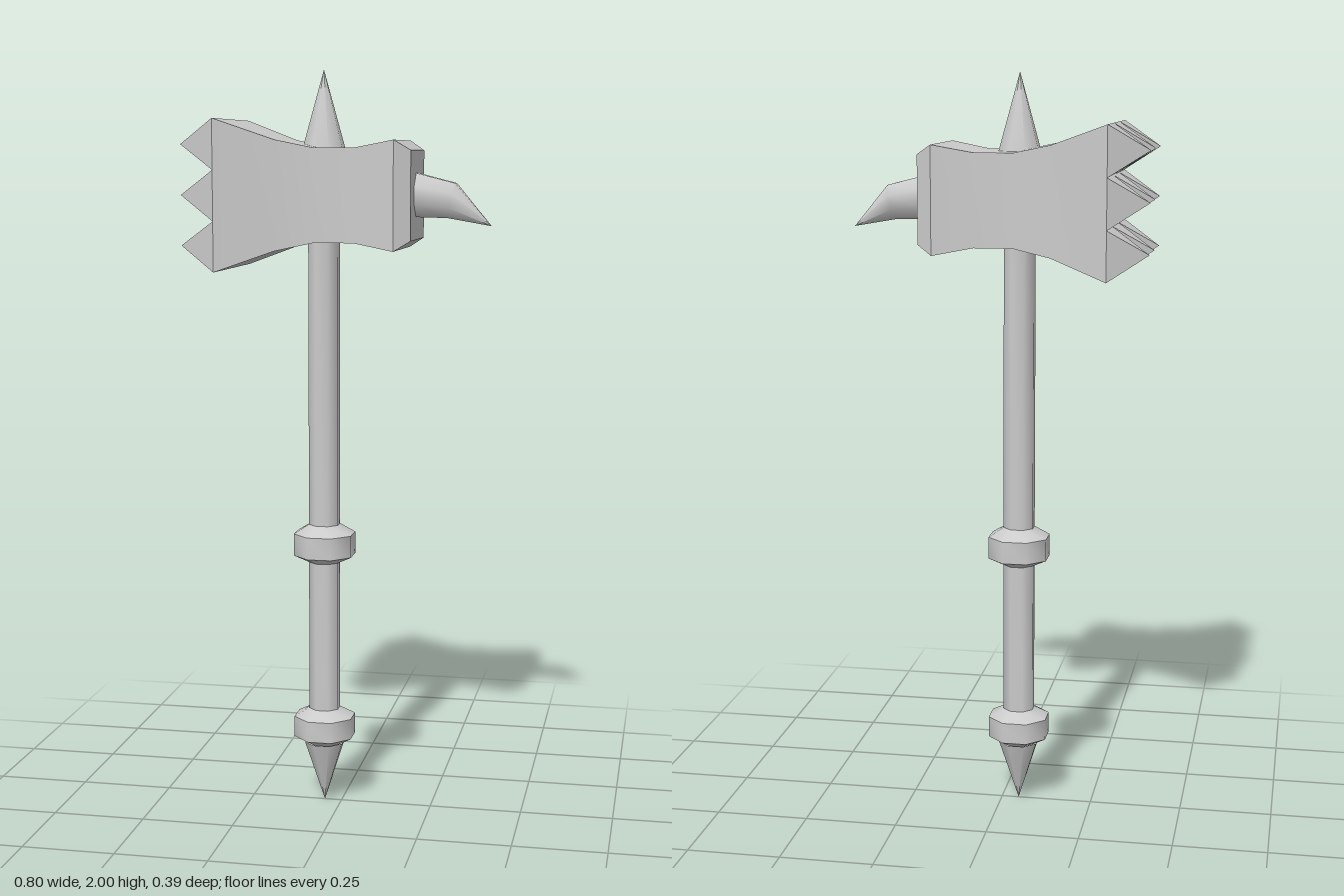
import * as THREE from 'three';
import { toCreasedNormals } from 'three/addons/utils/BufferGeometryUtils.js';

const AXIS_X = -0.047; // shaft axis
const HEAD_Y = 1.675;  // middle height of the head
const material = new THREE.MeshStandardMaterial({ color: 0xcccccc });

function part(name, geometry, crease = 0.9) {
  const mesh = new THREE.Mesh(toCreasedNormals(geometry, crease), material);
  mesh.name = name;
  return mesh;
}

// Eight-sided turned part around the shaft axis; profile of [flat radius, y] going up
function turned(name, profile) {
  const k = 1 / Math.cos(Math.PI / 8);
  const points = profile.map(([r, y]) => new THREE.Vector2(r * k, y));
  const mesh = part(name, new THREE.LatheGeometry(points, 8, Math.PI / 8));
  mesh.position.x = AXIS_X;
  return mesh;
}

// Regular polygon sections along x: [x, y, half width, lean of the section]
function loft(sections, sides) {
  const pos = [], index = [];
  for (const [x, y, half, lean = 0] of sections) {
    const r = half / Math.cos(Math.PI / sides);
    for (let j = 0; j < sides; j++) {
      const a = ((j + 0.5) / sides) * Math.PI * 2;
      pos.push(x + lean * Math.cos(a) * r, y + Math.cos(a) * r, Math.sin(a) * r);
    }
  }
  for (let i = 0; i < sections.length - 1; i++) {
    for (let j = 0; j < sides; j++) {
      const a = i * sides + j, b = i * sides + (j + 1) % sides;
      index.push(a, b, b + sides, a, b + sides, a + sides);
    }
  }
  const g = new THREE.BufferGeometry();
  g.setAttribute('position', new THREE.Float32BufferAttribute(pos, 3));
  g.setIndex(index);
  return g;
}

export function createModel() {
  const group = new THREE.Group();
  group.name = 'warHammer';

  // Handle with grip collars and pointed ends
  group.add(
    turned('shaft', [[0.04, 0.2], [0.04, 1.7]]),
    turned('gripCollar', [[0.04, 0.68], [0.079, 0.7], [0.079, 0.76], [0.04, 0.785]]),
    turned('pommelCollar', [[0.04, 0.165], [0.079, 0.188], [0.079, 0.245], [0.04, 0.267]]),
    turned('pommelSpike', [[0, 0], [0.052, 0.17]]),
    turned('topSpike', [[0.056, 1.785], [0, 2]]),
  );

  // Waisted square head with a chamfered end
  const head = [
    [-0.3, 0], [-0.3, 0.197], [-0.15, 0.143], [-0.05, 0.122],
    [0.055, 0.122], [0.162, 0.142], [0.203, 0.116], [0.203, 0],
  ].map(([x, half]) => [x, HEAD_Y, half]);
  group.add(part('hammerHead', loft(head, 4), 0.6));

  // Drooping horn on the chamfered end
  group.add(part('horn', loft([
    [0.19, HEAD_Y, 0.057], [0.203, HEAD_Y, 0.057],
    [0.295, 1.661, 0.045, 0.22], [0.4, 1.595, 0],
  ], 8)));

  // Three by three pyramid teeth on the striking face
  const cell = 0.394 / 3;
  const teeth = new THREE.Group();
  teeth.name = 'strikingTeeth';
  for (let row = -1; row <= 1; row++) {
    for (let col = -1; col <= 1; col++) {
      const tooth = loft([[-0.403, 0, 0], [-0.3, 0, cell / 2]], 4);
      const mesh = part('tooth', tooth, 0.3);
      mesh.position.set(0, HEAD_Y + row * cell, col * cell);
      teeth.add(mesh);
    }
  }
  group.add(teeth);
  return group;
}
